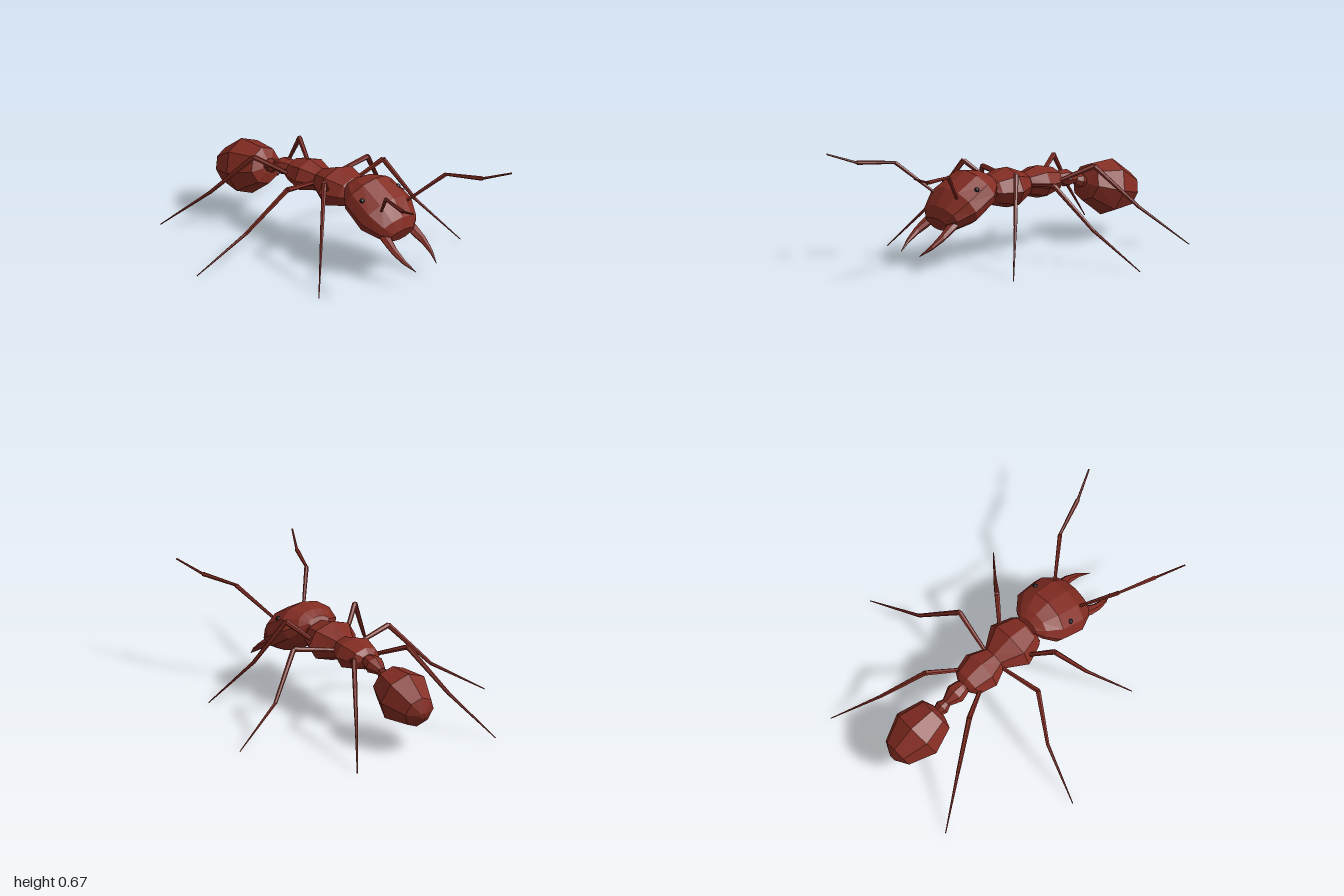
import * as THREE from 'three';

const shell = new THREE.MeshStandardMaterial({ color: 0x832c22, flatShading: true });
shell.name = 'rust red';
const dark = new THREE.MeshStandardMaterial({ color: 0x1e1c1c, flatShading: true });
dark.name = 'eye black';

// Closed loft along +z; each section is [z, halfWidth, up, down, offsetX, offsetY]
function loft(sections, sides) {
  const pos = [], index = [];
  for (const [z, rx, up, down, ox = 0, oy = 0] of sections) {
    for (let j = 0; j < sides; j++) {
      const a = (j / sides) * Math.PI * 2, s = Math.sin(a);
      pos.push(ox + Math.cos(a) * rx, oy + s * (s > 0 ? up : down), z);
    }
  }
  const last = sections.length - 1;
  for (let i = 0; i < last; i++) {
    for (let j = 0; j < sides; j++) {
      const k = (j + 1) % sides, a = i * sides, d = a + sides;
      index.push(a + j, a + k, d + k, a + j, d + k, d + j);
    }
  }
  // End caps
  for (const [i, front] of [[0, false], [last, true]]) {
    const [z, , , , ox = 0, oy = 0] = sections[i];
    const c = pos.length / 3;
    pos.push(ox, oy, z);
    for (let j = 0; j < sides; j++) {
      const a = i * sides + j, b = i * sides + ((j + 1) % sides);
      index.push(c, front ? a : b, front ? b : a);
    }
  }
  const g = new THREE.BufferGeometry();
  g.setAttribute('position', new THREE.Float32BufferAttribute(pos, 3));
  g.setIndex(index);
  g.computeVertexNormals();
  return g;
}

function segment(name, y, z, tilt, sides, sections) {
  const mesh = new THREE.Mesh(loft(sections, sides), shell);
  mesh.name = name;
  mesh.position.set(0, y, z);
  mesh.rotation.x = tilt;
  return mesh;
}

// Jointed limb of tapered hexagonal rods; radii holds [start, end] per rod
function limb(name, side, points, radii) {
  const group = new THREE.Group();
  group.name = name;
  const pts = points.map(([x, y, z]) => new THREE.Vector3(x * side, y, z));
  radii.forEach(([r0, r1], i) => {
    const dir = pts[i + 1].clone().sub(pts[i]);
    const rod = new THREE.Mesh(new THREE.CylinderGeometry(r1, r0, dir.length(), 6), shell);
    rod.name = name + 'Rod' + (i + 1);
    rod.position.copy(pts[i]).addScaledVector(dir, 0.5);
    rod.quaternion.setFromUnitVectors(new THREE.Vector3(0, 1, 0), dir.normalize());
    group.add(rod);
  });
  return group;
}

export function createModel() {
  const model = new THREE.Group();
  model.name = 'ant';

  // Body, front to back
  model.add(
    segment('head', 0.365, 0.325, 0.495, 12, [
      [-0.235, 0.07, 0.03, 0.03], [-0.2, 0.125, 0.08, 0.06], [-0.12, 0.19, 0.14, 0.1],
      [0.05, 0.205, 0.138, 0.12], [0.16, 0.155, 0.087, 0.092], [0.208, 0.09, 0.03, 0.06],
    ]),
    segment('frontThorax', 0.4, 0, 0, 8, [
      [-0.15, 0.08, 0.07, 0.07], [-0.02, 0.165, 0.122, 0.122],
      [0.1, 0.12, 0.09, 0.09], [0.125, 0.1, 0.07, 0.06],
    ]),
    segment('rearThorax', 0.4, -0.25, 0, 8, [
      [-0.145, 0.05, 0.04, 0.04], [-0.115, 0.1, 0.07, 0.065],
      [0, 0.13, 0.098, 0.098], [0.1, 0.085, 0.07, 0.07],
    ]),
    segment('frontWaist', 0.392, -0.46, -0.2, 8, [
      [-0.075, 0.028, 0.025, 0.025], [0, 0.063, 0.052, 0.052], [0.055, 0.05, 0.04, 0.04], [0.085, 0.03, 0.025, 0.025],
    ]),
    segment('rearWaist', 0.36, -0.565, -0.3, 8, [
      [-0.055, 0.028, 0.025, 0.025], [0, 0.045, 0.045, 0.045], [0.045, 0.025, 0.025, 0.025],
    ]),
    segment('abdomen', 0.295, -0.775, -0.267, 8, [
      [-0.197, 0.02, 0.02, 0.02], [-0.155, 0.1, 0.1, 0.105], [0.005, 0.168, 0.166, 0.17],
      [0.165, 0.118, 0.115, 0.105], [0.19, 0.05, 0.04, 0.04],
    ]),
  );

  const legRadii = [[0.012, 0.016], [0.016, 0.011], [0.01, 0.003]];
  const limbs = {
    Antenna: [[[0.1, 0.41, 0.43], [0.25, 0.595, 0.615], [0.332, 0.61, 0.835], [0.41, 0.67, 0.998]],
      [[0.009, 0.013], [0.009, 0.013], [0.008, 0.005]]],
    FrontLeg: [[[0.11, 0.41, 0], [0.245, 0.535, 0.105], [0.39, 0.27, 0.225], [0.59, 0.002, 0.4]], legRadii],
    MiddleLeg: [[[0.06, 0.4, -0.155], [0.335, 0.453, -0.11], [0.55, 0.203, -0.235], [0.865, 0.002, -0.33]], legRadii],
    RearLeg: [[[0.08, 0.4, -0.33], [0.19, 0.487, -0.525], [0.328, 0.235, -0.748], [0.49, 0.002, -0.998]], legRadii],
  };

  for (const [side, label] of [[1, 'left'], [-1, 'right']]) {
    for (const [name, [points, radii]] of Object.entries(limbs)) {
      model.add(limb(label + name, side, points, radii));
    }

    // Curved jaw
    const jaw = new THREE.Mesh(loft([
      [0.43, 0.03, 0.03, 0.03, 0.11 * side, 0.28],
      [0.5, 0.035, 0.03, 0.03, 0.112 * side, 0.238],
      [0.56, 0.025, 0.023, 0.023, 0.12 * side, 0.198],
      [0.63, 0.015, 0.014, 0.014, 0.112 * side, 0.15],
      [0.7, 0.002, 0.002, 0.002, 0.086 * side, 0.102],
    ], 6), shell);
    jaw.name = label + 'Jaw';

    // Eye
    const eye = new THREE.Mesh(new THREE.SphereGeometry(0.016, 8, 6), dark);
    eye.name = label + 'Eye';
    eye.position.set(0.15 * side, 0.458, 0.322);
    model.add(jaw, eye);
  }
  return model;
}
